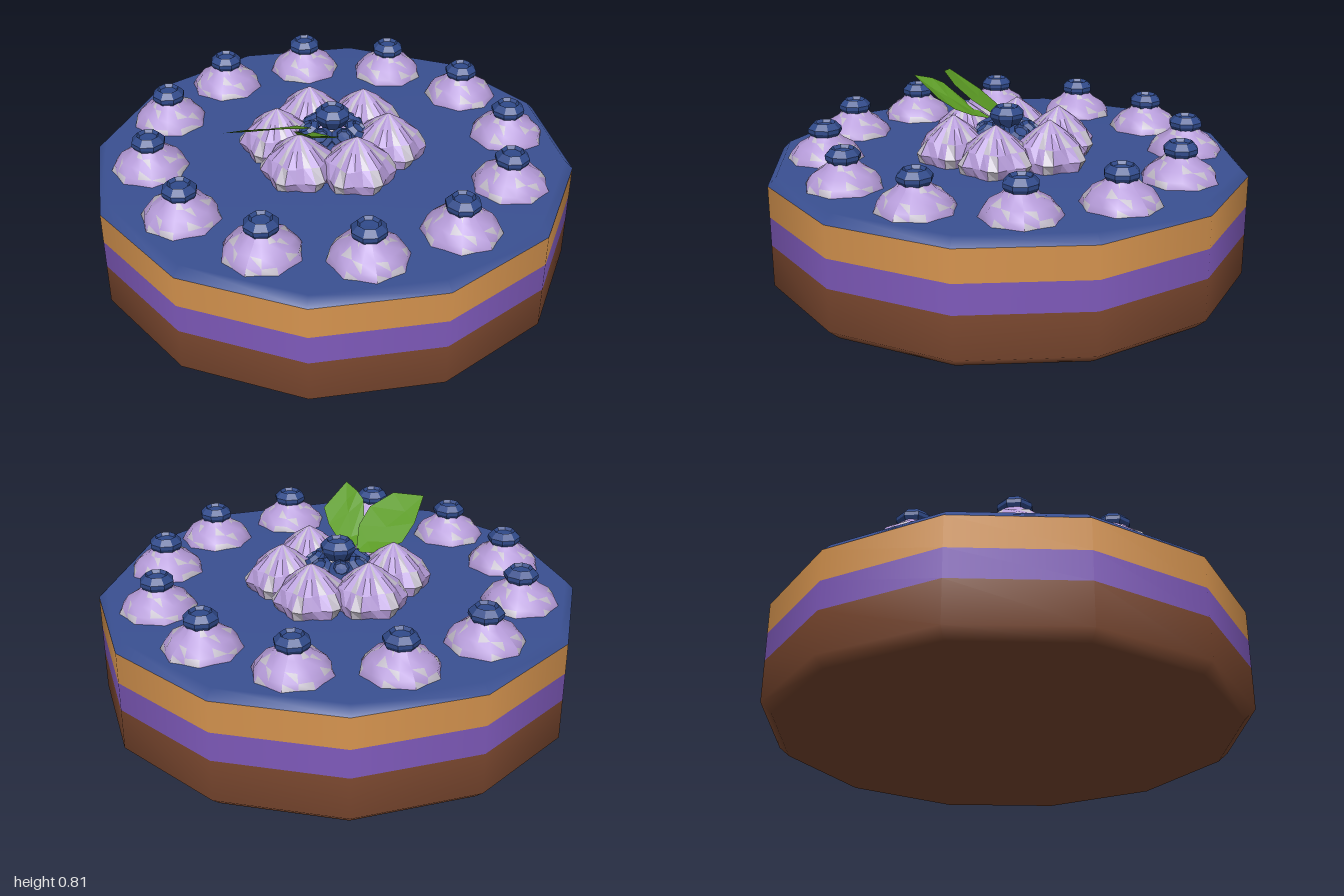
import * as THREE from 'three';

const mat = (name, color, side = THREE.FrontSide) => {
  const m = new THREE.MeshStandardMaterial({ color, side });
  m.name = name;
  return m;
};

const lathe = (profile, segments) =>
  new THREE.LatheGeometry(profile.map(([r, y]) => new THREE.Vector2(r, y)), segments);

const mesh = (name, geometry, material) => {
  const m = new THREE.Mesh(geometry, material);
  m.name = name;
  return m;
};

// Piped cream: a lathe with twisted ridges; isLight(segment, row, half) picks the pale streaks
function creamGeometry(profile, segments, lobes, depth, twist, flat, isLight) {
  let g = lathe(profile, segments);
  const p = g.attributes.position;
  for (let i = 0; i < p.count; i++) {
    const x = p.getX(i), z = p.getZ(i), y = p.getY(i);
    const s = 1 + depth * Math.cos(lobes * (Math.atan2(x, z) - twist * y));
    p.setXYZ(i, x * s, y, z * s);
  }
  g.computeVertexNormals();
  const rows = profile.length - 1, src = g.index.array, sets = [[], []];
  for (let t = 0; t < src.length / 3; t++) {
    const quad = t >> 1;
    const light = isLight(Math.floor(quad / rows), quad % rows, t & 1) ? 1 : 0;
    sets[light].push(src[t * 3], src[t * 3 + 1], src[t * 3 + 2]);
  }
  g.setIndex([...sets[0], ...sets[1]]);
  if (flat) {
    g = g.toNonIndexed();
    g.computeVertexNormals();
  }
  g.addGroup(0, sets[0].length, 0);
  g.addGroup(sets[0].length, sets[1].length, 1);
  return g;
}

// Leaf from a base, [left, midrib, right] cross-sections and a tip
function leafGeometry(base, sections, tip) {
  const pts = [base, ...sections.flat(), tip];
  const n = sections.length, end = pts.length - 1, idx = [0, 1, 2, 0, 2, 3];
  for (let s = 0; s < n - 1; s++) {
    for (let k = 1; k < 3; k++) {
      const a = s * 3 + k, b = a + 3;
      idx.push(a, b, a + 1, a + 1, b, b + 1);
    }
  }
  const l = (n - 1) * 3 + 1;
  idx.push(l, end, l + 1, l + 1, end, l + 2);
  let g = new THREE.BufferGeometry();
  g.setAttribute('position', new THREE.Float32BufferAttribute(pts.flat(), 3));
  g.setIndex(idx);
  g = g.toNonIndexed();
  g.computeVertexNormals();
  return g;
}

export function createModel() {
  const cake = new THREE.Group();
  cake.name = 'cake';

  const brown = mat('chocolate base', 0x7d4930);
  const purple = mat('purple filling', 0x7f5abb);
  const orange = mat('sponge', 0xd6944f);
  const blue = mat('blue glaze', 0x3a5092);
  const berryBlue = mat('blueberry', 0x304a8a);
  const lavender = mat('lavender cream', 0xb59bd8);
  const pale = mat('pale cream streak', 0xc2bcc9);
  const green = mat('leaf green', 0x5b9a24, THREE.DoubleSide);

  // Twelve-sided layers
  const sides = 12;
  cake.add(
    mesh('chocolateLayer', lathe([[0, 0], [0.955, 0], [1, 0.04], [1, 0.215]], sides), brown),
    mesh('fillingLayer', lathe([[1, 0.215], [1, 0.335]], sides), purple),
    mesh('spongeLayer', lathe([[1, 0.335], [1, 0.465]], sides), orange),
    mesh('glaze', lathe([[1, 0.465], [0.965, 0.5], [0, 0.503]], sides), blue)
  );

  // Blueberry with a sunken crown, centred on its widest part
  let berryGeo = lathe([
    [0, -0.055], [0.045, -0.045], [0.07, -0.005], [0.07, 0.01],
    [0.046, 0.035], [0.036, 0.022], [0, 0.02]
  ], 8).toNonIndexed();
  berryGeo.computeVertexNormals();
  const berry = (name, x, y, z, scale = 1) => {
    const b = mesh(name, berryGeo, berryBlue);
    b.position.set(x, y, z);
    b.scale.setScalar(scale);
    return b;
  };

  // Outer ring of cream dollops, each topped with a berry
  const dollopGeo = creamGeometry(
    [[0.152, 0], [0.143, 0.03], [0.115, 0.06], [0.075, 0.085], [0.045, 0.12]],
    16, 8, 0.05, 6, false, (i, j, h) => (i * 3 + j * 5 + h * 2) % 7 === 0 || (j === 0 && i % 5 === 1));
  for (let i = 0; i < 12; i++) {
    const a = (i + 0.5) * Math.PI / 6;
    const x = 0.755 * Math.sin(a), z = 0.755 * Math.cos(a);
    const dollop = mesh('creamDollop', dollopGeo, [lavender, pale]);
    dollop.position.set(x, 0.497, z);
    dollop.rotation.y = a;
    cake.add(dollop, berry('ringBerry', x, 0.62, z));
  }

  // Six pointed cream peaks around the centre
  const peakGeo = creamGeometry(
    [[0.135, 0], [0.15, 0.045], [0.118, 0.1], [0.06, 0.152], [0, 0.195]],
    24, 6, 0.1, 3, true, (i, j) => (i + (j >> 1)) % 4 === 0);
  for (let i = 0; i < 6; i++) {
    const a = i * Math.PI / 3;
    const peak = mesh('creamPeak', peakGeo, [lavender, pale]);
    peak.position.set(0.23 * Math.sin(a), 0.497, 0.23 * Math.cos(a));
    peak.rotation.y = a;
    cake.add(peak);
  }

  // Centre berry cluster
  cake.add(berry('topBerry', 0, 0.672, 0, 1.05));
  for (let i = 0; i < 7; i++) {
    const a = i * Math.PI * 2 / 7;
    const b = berry('clusterBerry', 0.1 * Math.sin(a), 0.61, 0.1 * Math.cos(a), 0.72);
    b.rotation.set(0.6, a, 0, 'YXZ');
    cake.add(b);
  }

  // Two folded leaves
  cake.add(
    mesh('largeLeaf', leafGeometry([-0.09, 0.63, 0], [
      [[-0.14, 0.63, -0.045], [-0.16, 0.655, 0.02], [-0.17, 0.7, 0.1]],
      [[-0.29, 0.645, -0.05], [-0.27, 0.69, 0.04], [-0.26, 0.75, 0.15]],
      [[-0.39, 0.695, 0], [-0.39, 0.725, 0.07], [-0.39, 0.785, 0.16]]
    ], [-0.51, 0.765, 0.1]), green),
    mesh('smallLeaf', leafGeometry([-0.1, 0.63, 0.03], [
      [[-0.19, 0.665, 0.09], [-0.13, 0.655, 0.1], [-0.075, 0.66, 0.13]],
      [[-0.26, 0.765, 0.2], [-0.18, 0.72, 0.2], [-0.08, 0.69, 0.2]],
      [[-0.26, 0.79, 0.25], [-0.21, 0.755, 0.26], [-0.1, 0.74, 0.27]]
    ], [-0.255, 0.81, 0.33]), green)
  );

  return cake;
}
